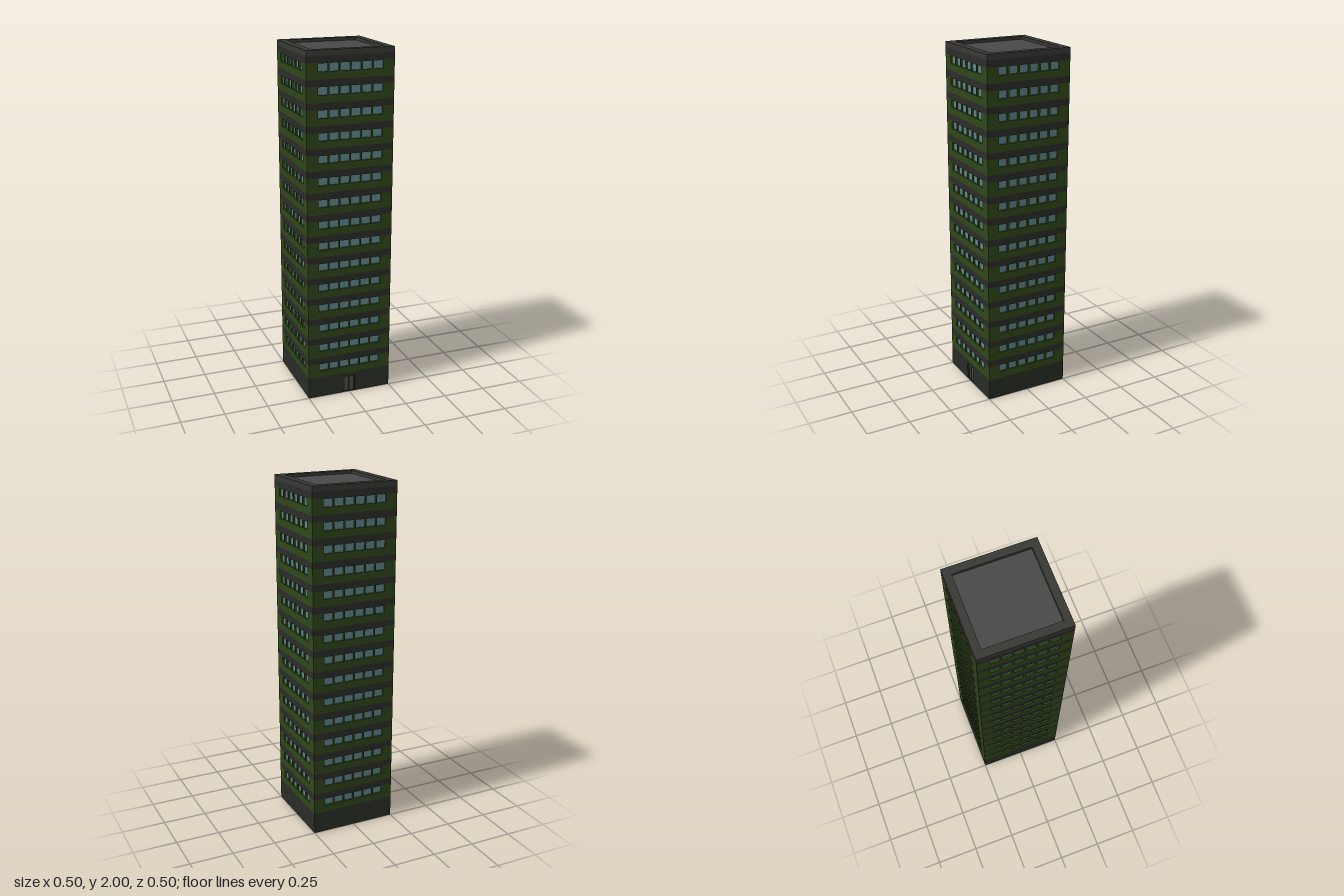
import * as THREE from 'three';

const W = 0.5, H = W / 2;          // tower width
const FLOOR = 0.1231, FLOORS = 15; // storey height and count above the base
const BAND = 0.036, T = 0.012;     // dark band height, wall thickness

const mat = (color) => new THREE.MeshStandardMaterial({ color, side: THREE.DoubleSide, flatShading: true });

function rect(Kind, x0, y0, x1, y1) {
  const s = new Kind();
  s.moveTo(x0, y0);
  s.lineTo(x1, y0);
  s.lineTo(x1, y1);
  s.lineTo(x0, y1);
  s.closePath();
  return s;
}

// Thin wall whose outer face lies at z = H
function wall(shape) {
  const g = new THREE.ExtrudeGeometry(shape, { depth: T, bevelEnabled: false });
  return g.translate(0, 0, H - T);
}

// Square ring of given height, with a hole through the middle
function ring(inner, height) {
  const s = rect(THREE.Shape, -H, -H, H, H);
  s.holes.push(rect(THREE.Path, -inner, -inner, inner, inner));
  return new THREE.ExtrudeGeometry(s, { depth: height, bevelEnabled: false }).rotateX(-Math.PI / 2);
}

export function createModel() {
  const model = new THREE.Group();
  const green = mat(0x2f4619), dark = mat(0x2b2b29), baseMat = mat(0x292d26);
  const glassMat = mat(0x5f8589), capMat = mat(0x383834), roofMat = mat(0x484848);
  const doorMat = mat(0x4a4a46), frameMat = mat(0x20201e);

  const add = (parent, name, geometry, material, x = 0, y = 0, z = 0) => {
    const m = new THREE.Mesh(geometry, material);
    m.name = name;
    m.position.set(x, y, z);
    parent.add(m);
    return m;
  };

  const bandGeo = ring(H - T, BAND);

  // Four facades, each turned to its side
  for (let side = 0; side < 4; side++) {
    const facade = new THREE.Group();
    facade.name = ['frontFacade', 'leftFacade', 'backFacade', 'rightFacade'][side];
    facade.rotation.y = side * Math.PI / 2;
    model.add(facade);
    const half = side % 2 ? H - T : H;
    const winW = side % 2 ? 0.052 : 0.056;

    // Base storey, with the door opening at the front
    const base = rect(THREE.Shape, -half, 0, half, FLOOR);
    if (side === 0) base.holes.push(rect(THREE.Path, -0.035, 0.002, 0.035, 0.1));
    add(facade, 'baseWall', wall(base), baseMat);

    // One storey panel with six window openings, repeated upward
    const panel = rect(THREE.Shape, -half, 0, half, FLOOR - BAND);
    for (let i = 0; i < 6; i++) {
      const x = (i - 2.5) * 0.0627;
      panel.holes.push(rect(THREE.Path, x - winW / 2, 0.041, x + winW / 2, 0.084));
    }
    const panelGeo = wall(panel);
    const glassGeo = new THREE.PlaneGeometry(0.38, 0.045);
    const paneGeo = new THREE.PlaneGeometry(winW, 0.043);
    for (let f = 1; f <= FLOORS; f++) {
      add(facade, 'storeyWall', panelGeo, green, 0, f * FLOOR, 0);
      for (let i = 0; i < 6; i++) {
        add(facade, 'windowPane', paneGeo, glassMat, (i - 2.5) * 0.0627, f * FLOOR + 0.0625, H - T + 0.002);
      }
    }
    glassGeo.dispose();
  }

  // Dark band above every storey
  for (let f = 1; f <= FLOORS; f++) {
    add(model, 'floorBand', bandGeo, dark, 0, (f + 1) * FLOOR - BAND, 0);
  }

  // Double door: frame and two leaves
  const door = new THREE.Group();
  door.name = 'door';
  model.add(door);
  const frame = rect(THREE.Shape, -0.035, 0.002, 0.035, 0.1);
  for (const s of [-1, 1]) {
    const a = s * 0.0015, b = s * 0.03;
    frame.holes.push(rect(THREE.Path, Math.min(a, b), 0.003, Math.max(a, b), 0.095));
    add(door, 'doorLeaf', new THREE.PlaneGeometry(0.0285, 0.092), doorMat, s * 0.01575, 0.049, H - 0.008);
  }
  add(door, 'doorFrame', new THREE.ExtrudeGeometry(frame, { depth: 0.005, bevelEnabled: false }), frameMat, 0, 0, H - 0.009);

  // Parapet and sunken roof
  const top = (FLOORS + 1) * FLOOR;
  add(model, 'parapet', ring(0.207, 2 - top), capMat, 0, top, 0);
  add(model, 'roof', new THREE.BoxGeometry(0.414, 0.01, 0.414), roofMat, 0, 1.978, 0);

  return model;
}
